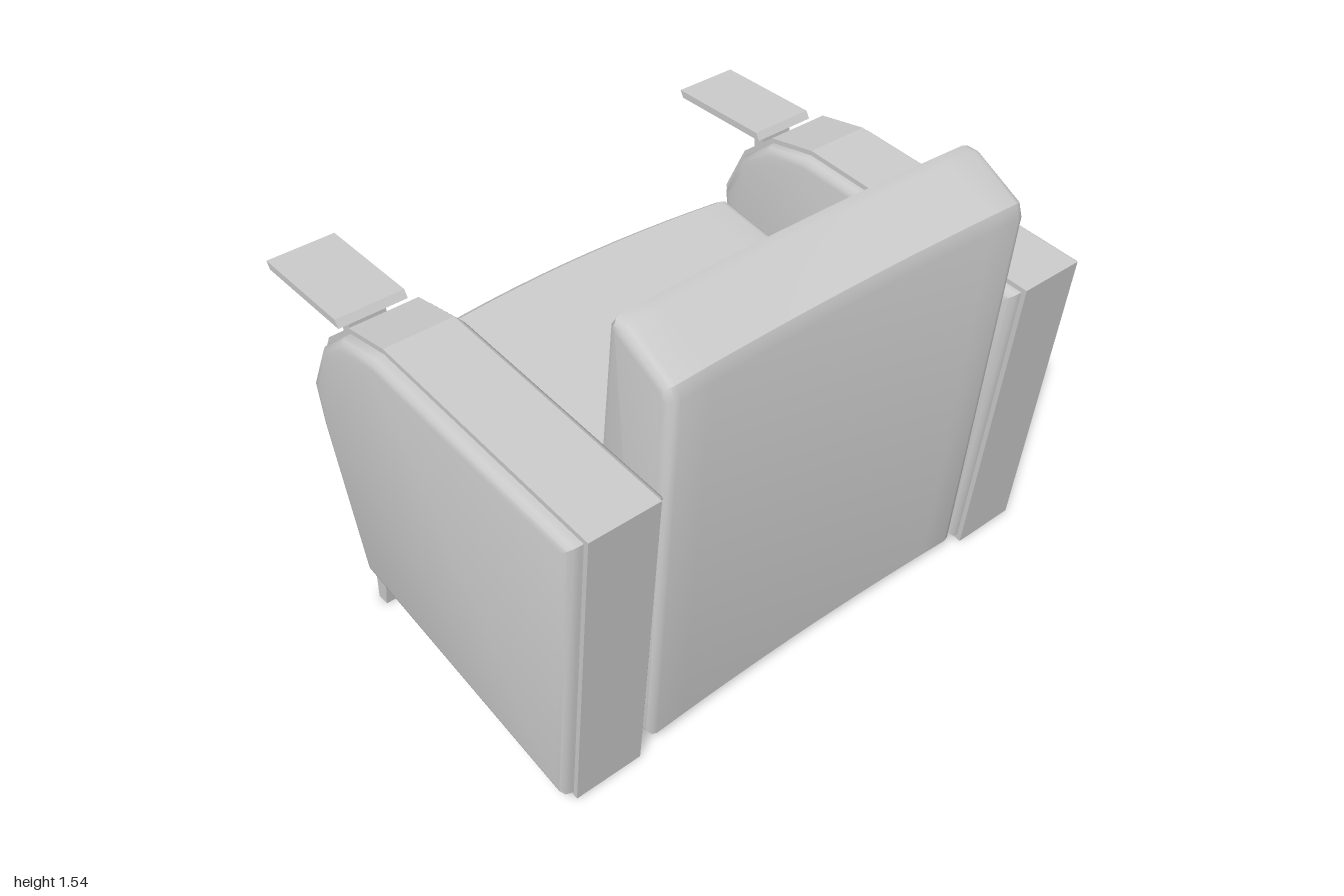
import * as THREE from 'three';
import { toCreasedNormals } from 'three/addons/utils/BufferGeometryUtils.js';

const material = new THREE.MeshStandardMaterial({ color: 0xcccccc, side: THREE.DoubleSide });

const toShape = (points) => new THREE.Shape(points.map(([x, y]) => new THREE.Vector2(x, y)));

// Hard-edged part: a side profile extruded from z0 to z1
function plate(name, points, z0, z1) {
  const geometry = new THREE.ExtrudeGeometry(toShape(points), { depth: z1 - z0, bevelEnabled: false });
  geometry.translate(0, 0, z0);
  const mesh = new THREE.Mesh(geometry, material);
  mesh.name = name;
  return mesh;
}

// Upholstered part: same idea with rounded edges, then bent by a rule giving an x offset
function cushion(name, points, z0, z1, { bevel = 0.035, inset = 0, steps = 1, bend } = {}) {
  const geometry = new THREE.ExtrudeGeometry(toShape(points), {
    depth: z1 - z0 - 2 * bevel,
    steps,
    bevelSize: bevel,
    bevelThickness: bevel,
    bevelOffset: -bevel - inset,
    bevelSegments: 3,
  });
  geometry.translate(0, 0, z0 + bevel);
  if (bend) {
    const p = geometry.attributes.position;
    for (let i = 0; i < p.count; i++) p.setX(i, p.getX(i) + bend(p.getX(i), p.getZ(i)));
  }
  const mesh = new THREE.Mesh(toCreasedNormals(geometry, 0.65), material);
  mesh.name = name;
  return mesh;
}

// Side profiles (x, y); the seat opens towards -x
const armProfile = [
  [-0.37, 0.16], [-0.52, 0.7], [-0.545, 0.86], [-0.455, 1.04], [-0.32, 1.15],
  [-0.13, 1.185], [0.8, 1.12], [0.69, 0],
];
const legProfile = [[-0.385, 0], [-0.34, 0], [-0.317, 0.17], [-0.38, 0.18]];
const trayProfile = [[-0.8, 1.135], [-0.785, 1.11], [-0.385, 1.11], [-0.4, 1.135]];
const supportProfile = [[-0.465, 1.02], [-0.425, 1.02], [-0.425, 1.11], [-0.465, 1.11]];
const seatProfile = [
  [-0.37, 0.16], [-0.43, 0.18], [-0.47, 0.23], [-0.55, 0.53], [-0.575, 0.77], [-0.57, 0.82],
  [-0.54, 0.84], [0.52, 0.7], [0.52, 0.58], [-0.39, 0.68], [-0.45, 0.63],
];
const backProfile = [
  [0.345, 0.04], [0.515, 1.51], [0.535, 1.54], [0.58, 1.54], [0.755, 1.445], [0.77, 1.4], [0.665, 0.04],
];

const HALF = 0.675; // half width of seat and back

function arm(side) {
  const group = new THREE.Group();
  group.name = side > 0 ? 'leftSideArm' : 'rightSideArm';
  const span = (a, b) => (side > 0 ? [a, b] : [-b, -a]);
  group.add(
    plate('armBand', armProfile, ...span(0.715, 0.955)),
    cushion('armPadding', armProfile, ...span(0.678, 1), { inset: 0.017 }),
    plate('frontLeg', legProfile, ...span(0.715, 0.955)),
    plate('tray', trayProfile, ...span(0.715, 0.955)),
    plate('traySupport', supportProfile, ...span(0.77, 0.9)),
  );
  return group;
}

export function createModel() {
  const model = new THREE.Group();
  model.name = 'armchair';

  // Seat with a wrap-down apron, bowed outwards in the middle
  const seatBend = (x, z) =>
    0.05 * (z / HALF) ** 2 * THREE.MathUtils.clamp((0.1 - x) / 0.5, 0, 1);
  model.add(cushion('seat', seatProfile, -HALF, HALF, { bevel: 0.03, steps: 12, bend: seatBend }));

  // Tall backrest, gently curved in plan
  const backBend = (x, z) => 0.017 * (z / HALF) ** 2;
  model.add(cushion('backrest', backProfile, -HALF, HALF, { steps: 12, bend: backBend }));

  // Matching arms with trays and front legs
  for (const side of [1, -1]) model.add(arm(side));
  return model;
}
